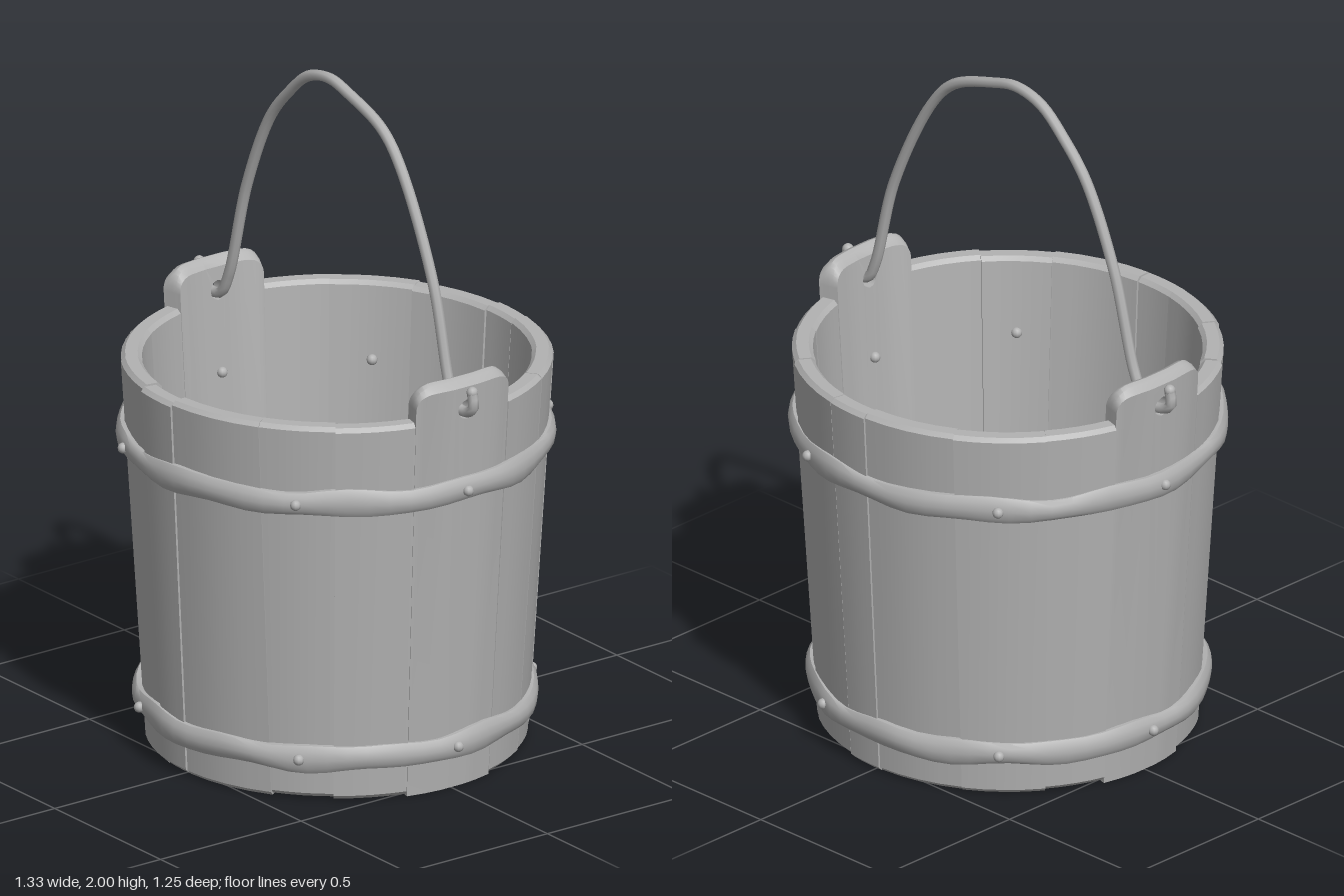
import * as THREE from 'three';
import { mergeGeometries, toCreasedNormals } from 'three/addons/utils/BufferGeometryUtils.js';

const TOP = 1.16, THICK = 0.06, LUG_TOP = 1.27;
const outerRadius = (y) => 0.545 + 0.07 * y / TOP;

// stave joints in degrees, measured from the front (+z) towards +x
const JOINTS = [3.7, 32, 53, 74.5, 106, 125, 145, 170, 183, 210, 235, 254.5, 285.5, 305, 328, 349.7];
const LUGS = [3, 11];
const RIVETS = [42.5, 90, 159, 222, 270, 338.4];

let seed = 7;
const rand = () => (seed = (seed * 16807) % 2147483647) / 2147483647;
const jitter = (amount) => (rand() * 2 - 1) * amount;
const rad = THREE.MathUtils.degToRad;

// move every vertex by a rule
function warp(geometry, rule) {
  const p = geometry.attributes.position;
  const v = new THREE.Vector3();
  for (let i = 0; i < p.count; i++) {
    v.fromBufferAttribute(p, i);
    rule(v);
    p.setXYZ(i, v.x, v.y, v.z);
  }
  return geometry;
}

const polar = (v, r, a) => v.set(r * Math.sin(a), v.y, r * Math.cos(a));

// plain stave: wall profile swept between two joints
function staveGeometry(a0, a1, lean0, lean1) {
  const top = TOP + jitter(0.005), bottom = rand() * 0.012, push = jitter(0.006), b = 0.012;
  const ro = (y) => outerRadius(y) + push;
  const profile = new THREE.Shape([
    [ro(0) - THICK, bottom], [ro(0) - b, bottom], [ro(0), bottom + b],
    [ro(top), top - b], [ro(top) - b, top], [ro(top) - THICK + b, top], [ro(top) - THICK, top - b],
  ].map(([x, y]) => new THREE.Vector2(x, y)));
  const g = new THREE.ExtrudeGeometry(profile, { depth: 1, steps: 4, bevelEnabled: false });
  warp(g, (v) => {
    const k = 1 - v.y / TOP;
    polar(v, v.x, THREE.MathUtils.lerp(a1 + lean1 * k, a0 + lean0 * k, v.z));
  });
  return toCreasedNormals(g, 0.5);
}

// tall stave with a rounded top and a hole, made of strips bent round the wall
function lugGeometry(middle) {
  const cuts = [-0.166, -0.1, -0.045, 0.045, 0.1, 0.166];
  const parts = [];
  for (let i = 0; i < 5; i++) {
    const l = cuts[i], r = cuts[i + 1], s = new THREE.Shape();
    s.moveTo(l, 0);
    s.lineTo(r, 0);
    if (i === 4) {
      s.lineTo(r, LUG_TOP - 0.07);
      s.quadraticCurveTo(r, LUG_TOP, l, LUG_TOP);
    } else if (i === 0) {
      s.lineTo(r, LUG_TOP);
      s.quadraticCurveTo(l, LUG_TOP, l, LUG_TOP - 0.07);
    } else {
      s.lineTo(r, LUG_TOP);
      s.lineTo(l, LUG_TOP);
    }
    if (i === 2) s.holes.push(new THREE.Path().absarc(0, 1.175, 0.03, 0, Math.PI * 2, true));
    parts.push(new THREE.ExtrudeGeometry(s, { depth: THICK, steps: 4, bevelEnabled: false, curveSegments: 6 }));
  }
  const g = warp(mergeGeometries(parts), (v) => {
    const r = outerRadius(v.y) - THICK + v.z;
    const edge = Math.abs(v.z / THICK - 0.5) * 2;
    if (v.y > 1.21) v.y -= 0.025 * edge * edge * (v.y - 1.19) / 0.08;
    polar(v, r, middle + v.x / 0.615);
  });
  return toCreasedNormals(g, 0.6);
}

// uneven hammered hoop
function hoopGeometry(y, phase) {
  const r = outerRadius(y), h = 0.036;
  const profile = [[-0.012, -h], [0.012, -h], [0.022, -h * 0.6], [0.025, 0], [0.022, h * 0.6], [0.012, h], [-0.012, h]]
    .map(([x, dy]) => new THREE.Vector2(r + x, dy));
  const g = warp(new THREE.LatheGeometry(profile, 64), (v) => {
    const a = Math.atan2(v.x, v.z);
    const wide = 1 + 0.1 * Math.sin(7 * a + phase) + 0.08 * Math.sin(13 * a + phase * 2);
    const bulge = 1 + 0.004 * Math.sin(11 * a + phase);
    v.set(v.x * bulge, y + v.y * wide + 0.004 * Math.sin(9 * a - phase), v.z * bulge);
  });
  return toCreasedNormals(g, 0.9);
}

// floor plank: slice of a disc
function plankGeometry(x0, x1) {
  const R = 0.492, a = Math.acos(x1 / R), b = Math.acos(x0 / R);
  const s = new THREE.Shape();
  s.absarc(0, 0, R, a, b, false);
  s.absarc(0, 0, R, -b, -a, false);
  const g = new THREE.ExtrudeGeometry(s, {
    depth: 0.034, bevelEnabled: true, bevelSize: 0.008, bevelOffset: -0.008,
    bevelThickness: 0.008, bevelSegments: 1, curveSegments: 10,
  });
  return g.rotateX(-Math.PI / 2).translate(0, 0.058, 0);
}

export function createModel() {
  const model = new THREE.Group();
  const grey = new THREE.MeshStandardMaterial({ color: 0xb2b2b2 });
  grey.name = 'grey';
  const add = (name, geometry, parent = model) => {
    const mesh = new THREE.Mesh(geometry, grey);
    mesh.name = name;
    parent.add(mesh);
    return mesh;
  };
  const group = (name) => {
    const g = new THREE.Group();
    g.name = name;
    model.add(g);
    return g;
  };

  // wall
  const wall = group('wall');
  const n = JOINTS.length;
  const leans = JOINTS.map((_, i) => (LUGS.includes(i) || LUGS.includes(i - 1) ? 0 : rad(jitter(1.5))));
  JOINTS.forEach((deg, i) => {
    const a0 = rad(deg);
    const a1 = rad(JOINTS[(i + 1) % n] + (i === n - 1 ? 360 : 0));
    if (LUGS.includes(i)) add('handleStave', lugGeometry((a0 + a1) / 2), wall);
    else add('stave', staveGeometry(a0, a1, leans[i], leans[(i + 1) % n]), wall);
  });

  // floor
  const floor = group('floor');
  const seams = [-0.4915, -0.31, -0.097, 0.1, 0.31, 0.4915];
  for (let i = 0; i < 5; i++) add('floorPlank', plankGeometry(seams[i], seams[i + 1]), floor);

  // hoops with rivets that poke through the wall
  [[0.93, 0.6, 'upperHoop'], [0.135, 2.1, 'lowerHoop']].forEach(([y, phase, name]) => {
    const hoop = group(name);
    add('band', hoopGeometry(y, phase), hoop);
    for (const deg of RIVETS) {
      for (const r of [outerRadius(y) + 0.026, outerRadius(y) - THICK - 0.004]) {
        const rivet = add('rivet', new THREE.SphereGeometry(0.016, 10, 8), hoop);
        rivet.position.set(r * Math.sin(rad(deg)), y, r * Math.cos(rad(deg)));
      }
    }
  });

  // bent wire handle hooked through both tall staves
  const handle = group('handle');
  const path = [
    [-0.645, 1.235], [-0.65, 1.19], [-0.61, 1.166], [-0.545, 1.172], [-0.505, 1.24], [-0.42, 1.54],
    [-0.31, 1.78], [-0.22, 1.885], [-0.13, 1.96], [-0.03, 1.984], [0.06, 1.965], [0.22, 1.905],
    [0.31, 1.81], [0.46, 1.51], [0.535, 1.23], [0.565, 1.175], [0.615, 1.166], [0.65, 1.19], [0.645, 1.235],
  ].map(([x, y]) => new THREE.Vector3(x, y, 0));
  const curve = new THREE.CatmullRomCurve3(path, false, 'centripetal');
  add('wire', new THREE.TubeGeometry(curve, 110, 0.016, 8), handle);
  for (const end of [path[0], path[path.length - 1]]) {
    add('wireEnd', new THREE.SphereGeometry(0.017, 10, 8), handle).position.copy(end);
  }

  return model;
}
